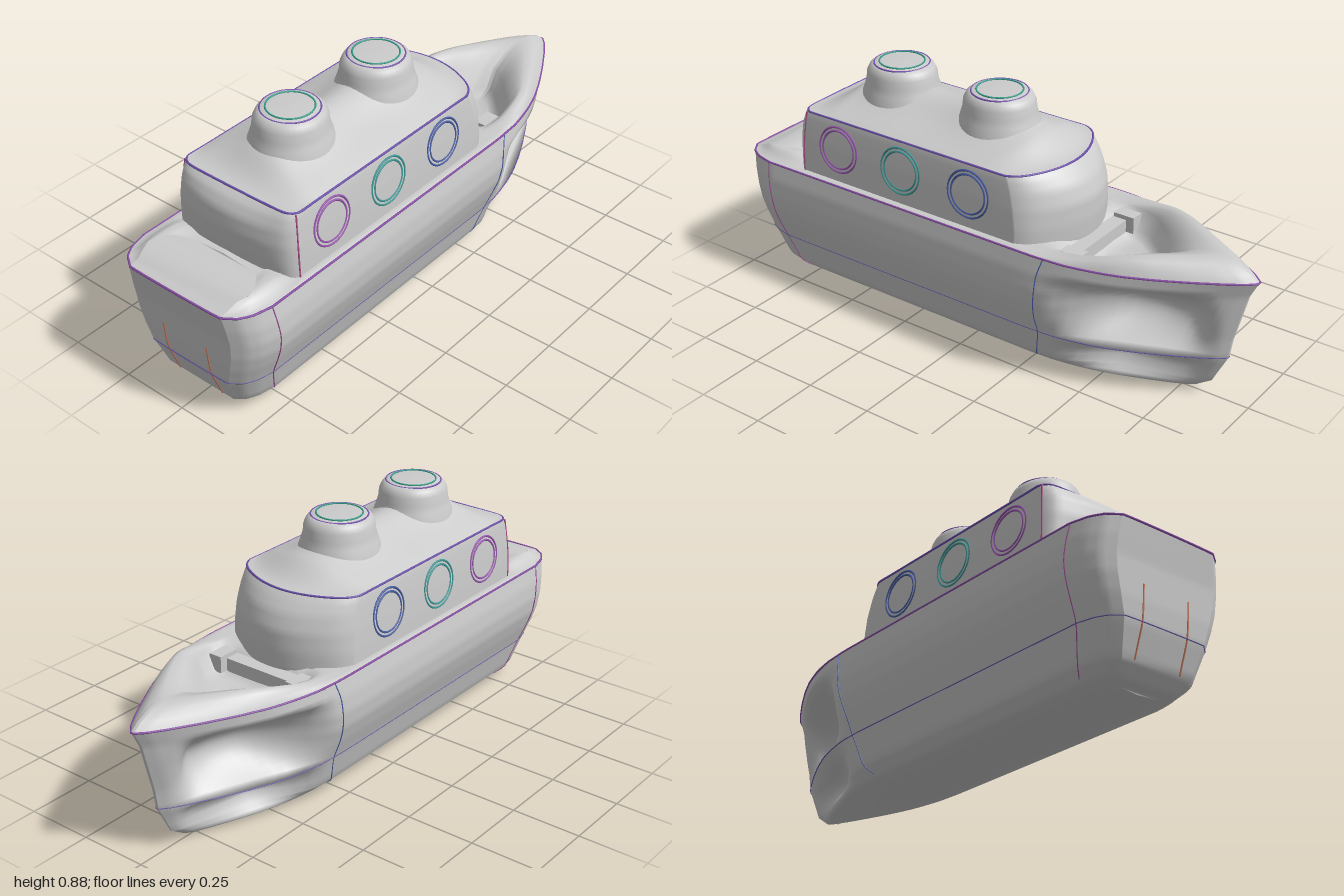
import * as THREE from 'three';

const grey = new THREE.MeshStandardMaterial({ color: 0xcccccc, side: THREE.DoubleSide });
const paint = (c) => new THREE.MeshStandardMaterial({ color: c });
const lerp = THREE.MathUtils.lerp;
const smooth = (x, a, b) => THREE.MathUtils.smoothstep(x, a, b);
const bump = (x, c, r) => Math.max(0, 1 - ((x - c) / r) ** 2);

// piecewise linear lookup in rows [key, value, ...], returning all values
function table(rows, k) {
  let i = 0;
  while (i < rows.length - 2 && rows[i + 1][0] < k) i++;
  const [a, b] = [rows[i], rows[i + 1]];
  const f = THREE.MathUtils.clamp((k - a[0]) / (b[0] - a[0]), 0, 1);
  return a.map((v, j) => lerp(v, b[j], f));
}

// skin over equal-length rings of Vector3
function skin(rings, closed = true) {
  const n = rings[0].length, pos = [], idx = [];
  rings.forEach((r) => r.forEach((p) => pos.push(p.x, p.y, p.z)));
  for (let j = 0; j < rings.length - 1; j++)
    for (let i = 0; i < (closed ? n : n - 1); i++) {
      const a = j * n + i, b = j * n + (i + 1) % n;
      idx.push(a, a + n, b, b, a + n, b + n);
    }
  const g = new THREE.BufferGeometry();
  g.setAttribute('position', new THREE.Float32BufferAttribute(pos, 3));
  g.setIndex(idx);
  g.computeVertexNormals();
  return g;
}

// plan outline from stern (0) to bow (1), as a share of the half width
const PLAN = [[0, 0.7], [0.015, 0.85], [0.035, 0.94], [0.07, 1], [0.66, 1], [0.72, 0.97], [0.77, 0.89],
  [0.81, 0.8], [0.86, 0.64], [0.91, 0.45], [0.96, 0.24], [0.985, 0.12], [1, 0.02]];
const plan = (t) => table(PLAN, t)[1];
const N = 64;
const stations = Array.from({ length: N + 1 }, (_, i) => 0.5 - 0.5 * Math.cos(Math.PI * i / N));
// a ring from bow to stern on the left, then back on the right
function ring(point) {
  const half = [...stations].reverse().map(point);
  return [...half, ...[...half].reverse().map((p) => new THREE.Vector3(-p.x, p.y, p.z))];
}

// hull levels: height, half width, stern z, bow z
const HULL = [[0.01, 0.12, 0.82, -0.74], [0.02, 0.165, 0.86, -0.8], [0.06, 0.207, 0.905, -0.86], [0.17, 0.24, 0.945, -0.915],
  [0.24, 0.268, 0.955, -0.925], [0.3, 0.288, 0.96, -0.94], [0.36, 0.296, 0.965, -0.955], [0.42, 0.292, 0.975, -0.97], [0.48, 0.28, 0.985, -1]];
function hullPoint(y, t) {
  const [, w, zs, zb] = table(HULL, y);
  const z = lerp(zs, zb, t);
  // hollows pressed into the bow sides, deepest near the stem, above and below the chine
  const along = smooth(-z, 0.35, 0.6) * (1 - smooth(-z, 0.78, 0.91));
  const hollow = along * (lerp(0.7, 0.92, smooth(-z, 0.5, 0.72)) * bump(y, 0.3, 0.13) + 0.6 * bump(y, 0.1, 0.07));
  return new THREE.Vector3(w * plan(t) * (1 - hollow), y, z);
}
const deckWidth = (z) => 0.28 * plan((0.985 - z) / 1.985);

// deck levels: bow height, aft height, half width, stern z, bow z, inset from the hull edge
const DECK = [[0.505, 0.49, 0.28, 0.975, -0.97, 0.006], [0.528, 0.508, 0.28, 0.95, -0.92, 0.02], [0.54, 0.526, 0.29, 0.92, -0.85, 0.04],
  [0.525, 0.533, 0.31, 0.88, -0.77, 0.055], [0.485, 0.533, 0.34, 0.85, -0.69, 0.07], [0.42, 0.525, 0.32, 0.81, -0.655, 0.1],
  [0.4, 0.5, 0.26, 0.77, -0.62, 0.14], [0.4, 0.5, 0, 0.77, -0.6, 0.2]];
function deckPoint([yBow, yAft, w, zs, zb, inset], t) {
  const z = lerp(zs, zb, t);
  const x = Math.max(0, Math.min(w * plan(t), deckWidth(z) - inset));
  // the aft deck is crowned; the bulwark climbs towards the bow
  const crown = Math.max(0.484, yAft - 0.5 * x * x);
  const rise = yBow > 0.5 && inset < 0.06 ? smooth(-z, 0.32, 0.68) : smooth(-z, 0.32, 0.45);
  return new THREE.Vector3(x, z > 0.2 ? lerp(0.485, crown, smooth(z, 0.68, 0.78)) : lerp(0.485, yBow, rise), z);
}

// cabin levels: height, half width, back z, front z, back bulge, front bulge
const CABIN = [[0.36, 0.2, 0.72, -0.25, 0.02, 0.11], [0.46, 0.256, 0.72, -0.26, 0.02, 0.115], [0.53, 0.254, 0.72, -0.26, 0.035, 0.12],
  [0.6, 0.25, 0.72, -0.25, 0.043, 0.128], [0.66, 0.244, 0.715, -0.235, 0.04, 0.12], [0.7, 0.239, 0.705, -0.22, 0.02, 0.1],
  [0.715, 0.235, 0.695, -0.21, 0, 0.09]];
function cabinRing(y, out = 0) {
  const [, w, zb, zf, bb, bf] = table(CABIN, y), pts = [];
  const across = (u, back) => new THREE.Vector3(u * (w + out), y,
    back ? zb + bb * (1 - u * u) - 0.03 * u ** 16 : zf - bf * (1 - u * u) + 0.03 * u ** 16);
  for (let i = 24; i >= 0; i--) pts.push(across(Math.cos(Math.PI * i / 24), false));
  const left = pts[pts.length - 1], back = across(1, true);
  for (let i = 1; i < 12; i++) pts.push(left.clone().lerp(back, i / 12));
  for (let i = 0; i <= 24; i++) pts.push(across(Math.cos(Math.PI * i / 24), true));
  for (let i = 1; i < 12; i++) {
    const p = left.clone().lerp(back, 1 - i / 12);
    pts.push(p.setX(-p.x));
  }
  return pts;
}

// roof: a dome with a swell under each funnel and a saddle between them
const FUNNELS = [0.435, 0.01];
function roofPoint(u, v) {
  const z = lerp(0.695 - 0.03 * u ** 16, -0.21 - 0.09 * (1 - u * u) + 0.03 * u ** 16, v), x = u * 0.235;
  const edge = smooth(Math.min(v, 1 - v), 0, 0.14) * (1 - Math.abs(u) ** 2.5);
  const swell = FUNNELS.reduce((s, f) => s + 0.06 * Math.exp(-x * x / 0.016 - (z - f) ** 2 / 0.03), 0);
  const saddle = 0.025 * Math.exp(-x * x / 0.008 - (z - 0.222) ** 2 / 0.02);
  return new THREE.Vector3(x, 0.715 + edge * (0.04 + swell + saddle), z);
}

export function createModel() {
  const model = new THREE.Group();
  const add = (name, geo, mat = grey) => {
    const m = new THREE.Mesh(geo, mat);
    m.name = name;
    model.add(m);
    return m;
  };
  const trim = (name, pts, color, closed = false, r = 0.003) => add(name, new THREE.TubeGeometry(
    new THREE.CatmullRomCurve3(pts, closed, 'centripetal'), pts.length * 3, r, 6, closed), paint(color));

  // hull, closed along the keel
  const levels = [];
  HULL.slice(0, -1).forEach((r, i) => {
    for (let k = 0; k < 4; k++) levels.push(lerp(r[0], HULL[i + 1][0], k / 4));
  });
  levels.push(0.48);
  const keel = ring((t) => hullPoint(0.01, t).setX(0).setY(0.004));
  add('hull', skin([keel, ...levels.map((y) => ring((t) => hullPoint(y, t)))]));

  // bulwark, fore well and rounded aft deck
  add('deck', skin([ring((t) => hullPoint(0.48, t)), ...DECK.map((r) => ring((t) => deckPoint(r, t)))]));

  // cabin walls and domed roof
  const walls = [];
  for (let i = 0; i <= 24; i++) walls.push(cabinRing(lerp(0.36, 0.715, i / 24)));
  add('cabinWalls', skin(walls));
  const roof = [];
  for (let j = 0; j <= 60; j++) {
    const row = [];
    for (let i = 0; i <= 32; i++) row.push(roofPoint(-Math.cos(Math.PI * i / 32), j / 60));
    roof.push(row);
  }
  add('roof', skin(roof, false));

  // funnels, slightly narrower across, with rimmed and slightly domed caps
  const profile = [[0.152, 0.745], [0.147, 0.77], [0.138, 0.795], [0.13, 0.82], [0.127, 0.85], [0.117, 0.87], [0.102, 0.882], [0.07, 0.886], [0, 0.887]]
    .map(([x, y]) => new THREE.Vector2(x, y));
  for (const z of FUNNELS) {
    const funnel = add('funnel', new THREE.LatheGeometry(profile, 40));
    funnel.position.z = z;
    funnel.scale.x = 0.94;
    for (const [r, y, c] of [[0.098, 0.881, 0x7a55b5], [0.08, 0.886, 0x35a08c]]) {
      const rim = add('funnelRim', new THREE.TorusGeometry(r, 0.003, 6, 40), paint(c));
      rim.rotation.x = Math.PI / 2;
      rim.position.set(0, y, z);
    }
  }

  // portholes on both sides
  const colors = [0x9a58b0, 0x3f9a98, 0x4a5fa5];
  for (const s of [1, -1])
    [0.53, 0.25, -0.04].forEach((z, i) => {
      const port = new THREE.Group();
      port.name = 'porthole';
      for (const r of [0.084, 0.07]) port.add(new THREE.Mesh(new THREE.TorusGeometry(r, 0.004, 6, 36), paint(colors[i])));
      port.position.set(s * 0.248, 0.605, z);
      port.rotation.set(0, s * (Math.PI / 2), 0);
      port.rotateX(-0.07);
      model.add(port);
    });

  // step at the foot of the cabin, with a block at each end
  add('step', new THREE.BoxGeometry(0.32, 0.06, 0.07)).position.set(0, 0.43, -0.385);
  for (const s of [1, -1])
    add('stepBlock', new THREE.BoxGeometry(0.05, 0.06, 0.08)).position.set(s * 0.165, 0.445, -0.41);

  // thin lines along the deck edge, chine and roof edge
  trim('deckLine', ring((t) => hullPoint(0.48, t)), 0x8a4fa8, true, 0.004);
  trim('chineLine', ring((t) => hullPoint(0.17, t)), 0x6a58a8, true, 0.002);
  trim('roofLine', cabinRing(0.712, 0.002), 0x6f52b0, true, 0.004);

  // upright seams at bow, stern and transom
  const heights = [0.03, 0.06, 0.1, 0.17, 0.24, 0.3, 0.36, 0.42, 0.48];
  for (const s of [1, -1]) {
    const mirror = (p) => p.setX(s * p.x);
    trim('bowSeam', heights.map((y) => mirror(hullPoint(y, 0.68))), 0x4a62b0, false, 0.002);
    trim('sternSeam', heights.map((y) => mirror(hullPoint(y, 0.07))), 0xa0509a, false, 0.002);
    trim('transomSeam', [0.06, 0.1, 0.17, 0.24, 0.29].map((y) => hullPoint(y, 0).setX(s * 0.095)), 0xc8785a);
    trim('cabinSeam', [[0.255, 0.48, 0.69], [0.251, 0.58, 0.69], [0.237, 0.71, 0.68]]
      .map(([x, y, z]) => new THREE.Vector3(s * x, y, z)), 0xb0508a);
  }
  return model;
}
